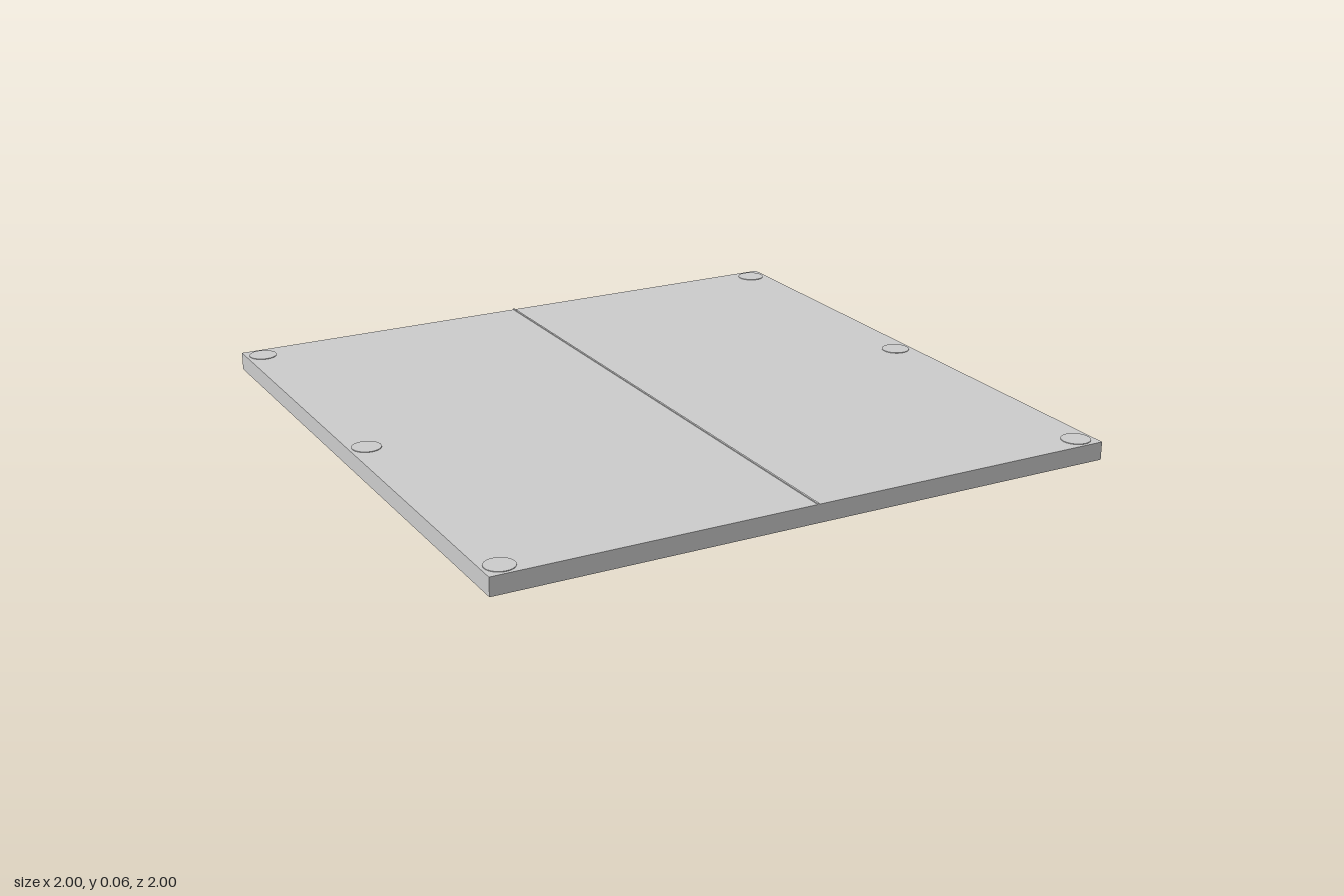
import * as THREE from 'three';

export function createModel() {
  const group = new THREE.Group();
  const material = new THREE.MeshStandardMaterial({ color: 0xcccccc, flatShading: true });
  const add = (name, geometry, x, y, z) => {
    const mesh = new THREE.Mesh(geometry, material);
    mesh.name = name;
    mesh.position.set(x, y, z);
    group.add(mesh);
  };

  // Square slab
  const top = 0.057;
  add('slab', new THREE.BoxGeometry(2, top, 2), 0, top / 2, 0);

  // Thin dividing line standing just proud of the slab
  add('centreLine', new THREE.BoxGeometry(0.006, 0.006, 2), 0, top, 0);

  // Six low discs: the corners and the middle of each side
  const disc = new THREE.CylinderGeometry(0.045, 0.045, 0.004, 32);
  for (const x of [-0.945, 0.945]) {
    for (const z of [-0.945, 0, 0.945]) add('cornerDisc', disc, x, top, z);
  }
  return group;
}
